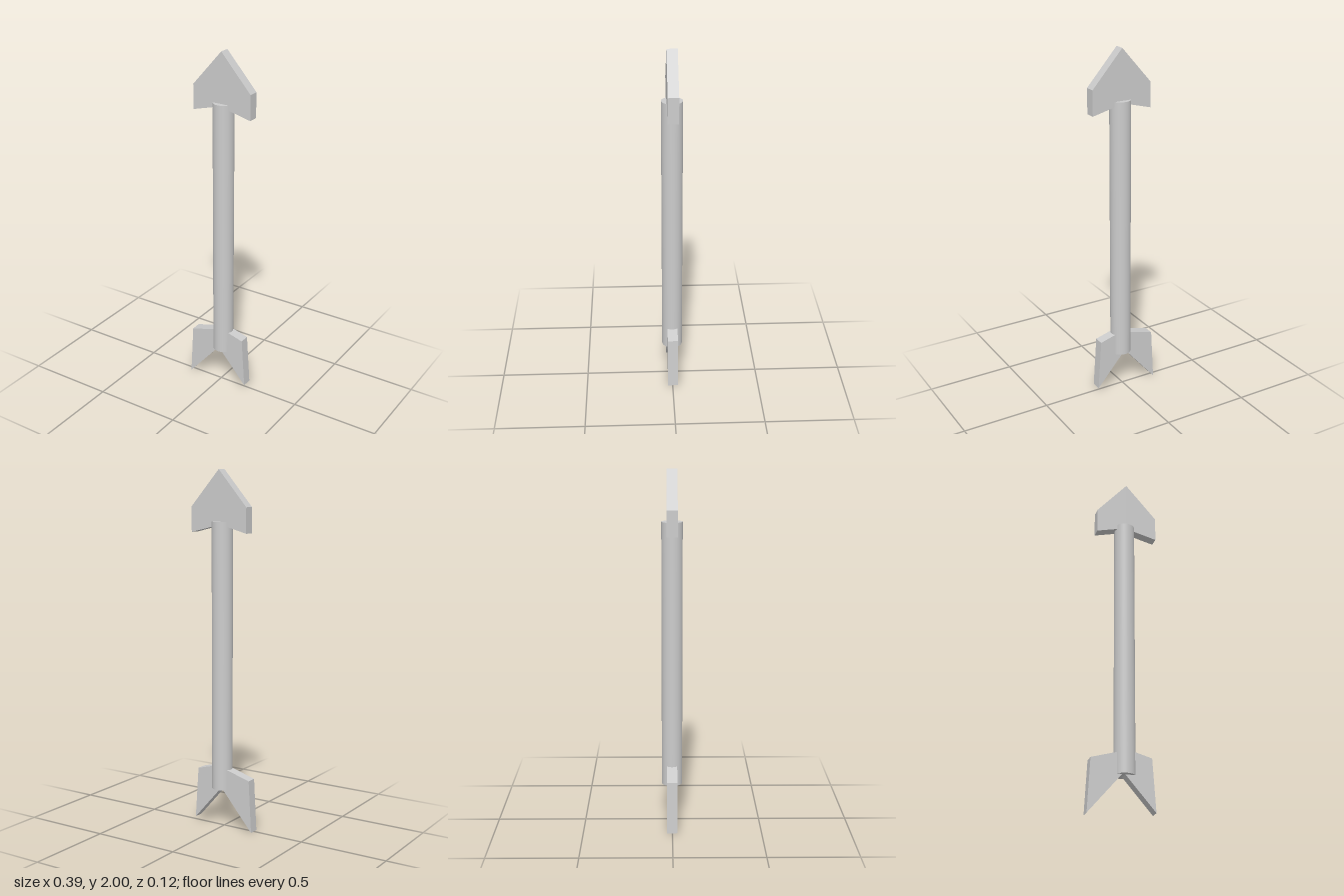
import * as THREE from 'three';

const CENTER_X = 0.013;

export function createModel() {
  const group = new THREE.Group();
  const material = new THREE.MeshStandardMaterial({ color: 0xcccccc });

  const add = (name, geometry) => {
    const mesh = new THREE.Mesh(geometry, material);
    mesh.name = name;
    group.add(mesh);
    return mesh;
  };

  // Flat plate cut from an outline and centred on z = 0
  const plate = (name, outline, depth = 0.058) => {
    const shape = new THREE.Shape(outline.map(([x, y]) => new THREE.Vector2(x, y)));
    const geometry = new THREE.ExtrudeGeometry(shape, { depth, bevelEnabled: false });
    add(name, geometry.translate(0, 0, -depth / 2 - 0.001));
  };

  // Round shaft
  add('shaft', new THREE.CylinderGeometry(0.058, 0.058, 1.5, 48))
    .position.set(CENTER_X, 0.97, -0.001);

  // Pointed head with swept-back barbs
  plate('arrowhead', [
    [0.017, 2], [-0.158, 1.8], [-0.158, 1.66], [-0.04, 1.692],
    [CENTER_X, 1.705], [0.07, 1.69], [0.195, 1.66], [0.195, 1.8],
  ]);

  // Slightly uneven tail fins, joined inside the shaft
  plate('tailFins', [
    [-0.035, 0.338], [-0.18, 0.296], [-0.197, 0], [0, 0.23],
    [0.177, 0.027], [0.157, 0.32], [0.07, 0.344], [CENTER_X, 0.35],
  ]);

  return group;
}
